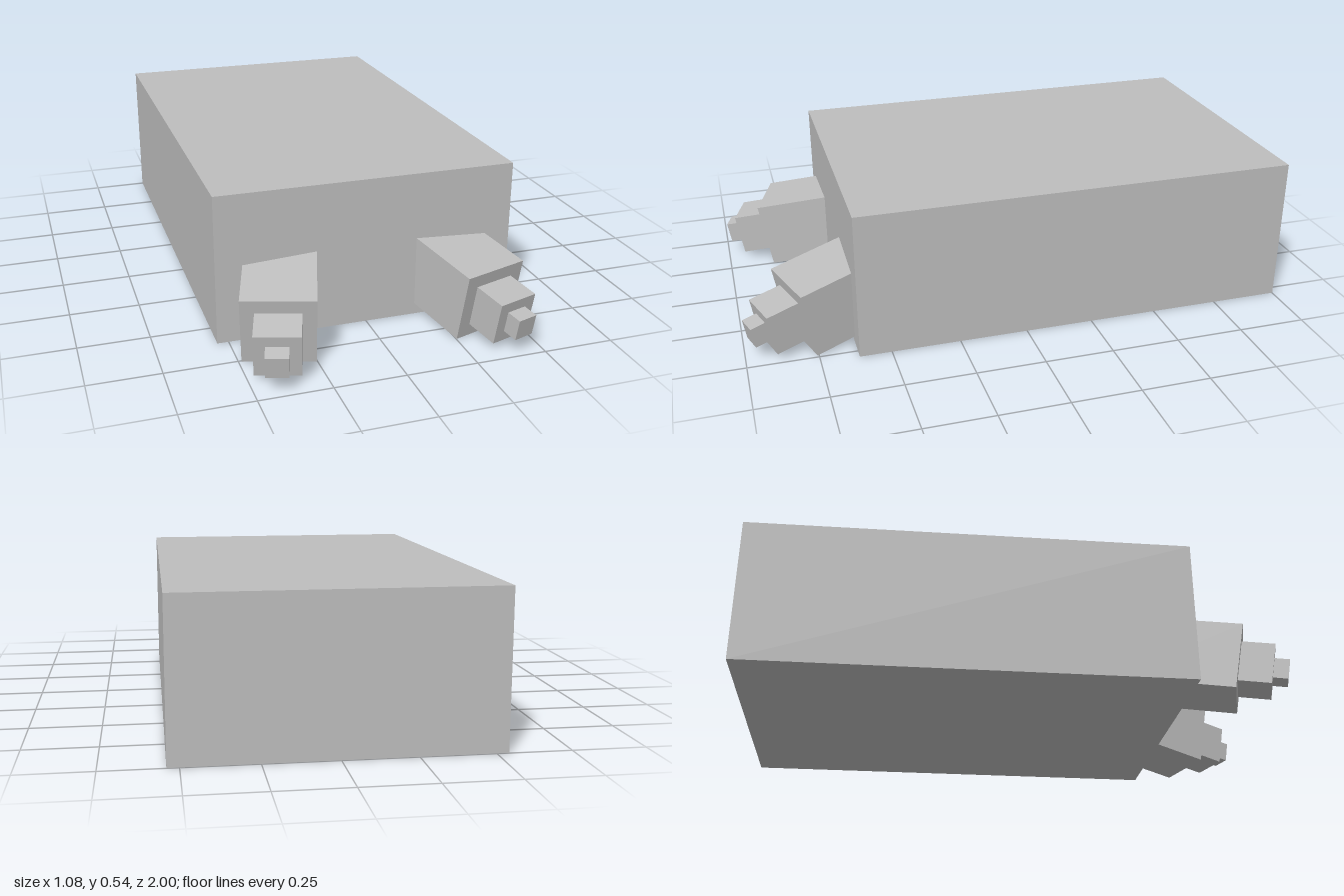
import * as THREE from 'three';

export function createModel() {
  const model = new THREE.Group();
  const grey = new THREE.MeshStandardMaterial({ color: 0xbebebe });
  grey.name = 'grey';

  const addBox = (parent, name, w, h, d, x, y, z) => {
    const mesh = new THREE.Mesh(new THREE.BoxGeometry(w, h, d), grey);
    mesh.name = name;
    mesh.position.set(x, y, z);
    parent.add(mesh);
  };

  // Main slab
  addBox(model, 'body', 1.08, 0.537, 1.615, 0, 0.2735, -0.1925);

  // Stepped prongs: [name, side, length, distance of the front face along the axis]
  const steps = [
    ['prongBase', 0.25, 0.42, 0],
    ['prongMiddle', 0.155, 0.2, 0.12],
    ['prongTip', 0.077, 0.1, 0.175],
  ];

  // Each prong splays outward and dips slightly
  for (const side of [-1, 1]) {
    const prong = new THREE.Group();
    prong.name = side > 0 ? 'leftProng' : 'rightProng';
    prong.position.set(side * 0.378, 0.127, 0.815);
    prong.rotation.set(0.183, side * 0.309, 0, 'YXZ');
    for (const [name, size, length, front] of steps) {
      addBox(prong, name, size, size, length, 0, 0, front - length / 2);
    }
    model.add(prong);
  }

  return model;
}
